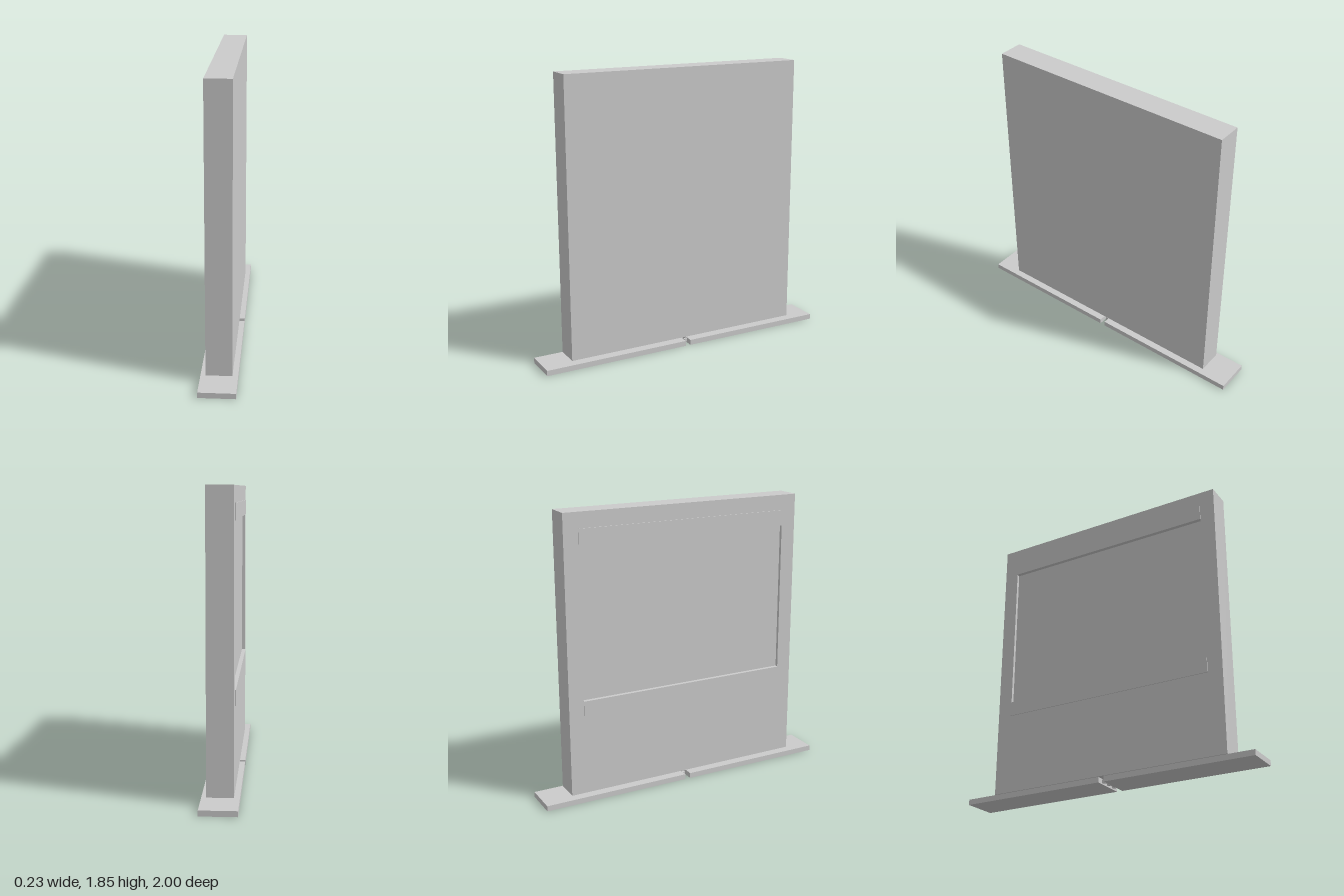
import * as THREE from 'three';

const material = new THREE.MeshStandardMaterial({ color: 0xcccccc, flatShading: true });

// Box given by its lower and upper corners
function box(name, [x0, y0, z0], [x1, y1, z1]) {
  const geometry = new THREE.BoxGeometry(x1 - x0, y1 - y0, z1 - z0);
  geometry.translate((x0 + x1) / 2, (y0 + y1) / 2, (z0 + z1) / 2);
  const mesh = new THREE.Mesh(geometry, material);
  mesh.name = name;
  return mesh;
}

// Rectangle outline, first axis along z and second along y
function rectangle(target, z, y0, y1) {
  target.moveTo(-z, y0);
  target.lineTo(z, y0);
  target.lineTo(z, y1);
  target.lineTo(-z, y1);
  target.closePath();
  return target;
}

export function createModel() {
  const group = new THREE.Group();
  group.name = 'displayPanel';
  const half = 0.081, recess = 0.02;

  // Panel body: solid slab with a framed recess on its -x face
  group.add(box('panelSlab', [-half + recess, 0.05, -0.818], [half, 1.85, 0.818]));
  const frameShape = rectangle(new THREE.Shape(), 0.818, 0.05, 1.85);
  frameShape.holes.push(rectangle(new THREE.Path(), 0.72, 0.67, 1.65));
  const frameGeometry = new THREE.ExtrudeGeometry(frameShape, { depth: recess, bevelEnabled: false });
  frameGeometry.rotateY(-Math.PI / 2);
  frameGeometry.translate(-half + recess, 0, 0);
  const frame = new THREE.Mesh(frameGeometry, material);
  frame.name = 'panelFrame';
  group.add(frame);

  // Raised strips above and below the recess
  group.add(box('upperStrip', [-0.087, 1.65, -0.72], [-half, 1.75, 0.72]));
  group.add(box('lowerStrip', [-0.087, 0.575, -0.72], [-half, 0.67, 0.72]));

  // Two foot plates with a narrow gap between them
  group.add(box('rearFoot', [-0.114, 0, -1], [0.114, 0.035, -0.018]));
  group.add(box('frontFoot', [-0.114, 0, 0.018], [0.114, 0.035, 1]));

  // Small tabs in the gap, reaching in alternately from each foot
  for (let i = 0; i < 5; i++) {
    const x = -0.06 + i * 0.03;
    const side = i % 2 ? 1 : -1;
    const z0 = side > 0 ? -0.004 : -0.018;
    group.add(box('gapTab', [x - 0.008, 0.008, z0], [x + 0.008, 0.03, z0 + 0.022]));
  }
  return group;
}
